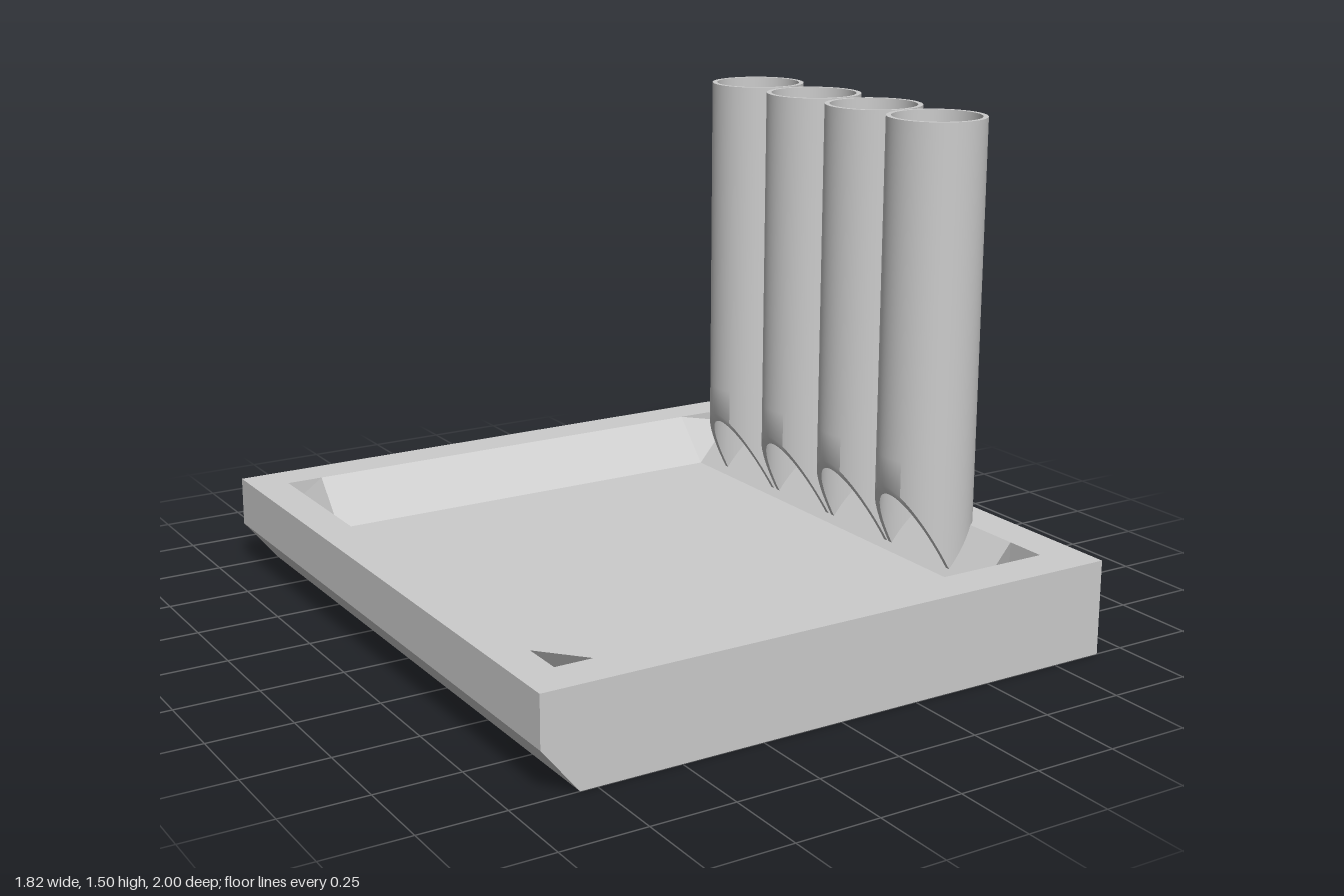
import * as THREE from 'three';
import { toCreasedNormals } from 'three/addons/utils/BufferGeometryUtils.js';

const RIM_Y = 0.285, FLOOR_Y = 0.15;
const material = new THREE.MeshStandardMaterial({ color: 0xcccccc, side: THREE.DoubleSide });

// Flat-shaded geometry from convex polygons, each given as counter-clockwise points
function polygons(faces) {
  const pos = [];
  for (const f of faces)
    for (let i = 1; i < f.length - 1; i++) pos.push(...f[0], ...f[i], ...f[i + 1]);
  const g = new THREE.BufferGeometry();
  g.setAttribute('position', new THREE.Float32BufferAttribute(pos, 3));
  g.computeVertexNormals();
  return g;
}

// Rectangle corners, counter-clockwise seen from above
const ring = (x0, x1, z0, z1, y) => [[x0, y, z0], [x0, y, z1], [x1, y, z1], [x1, y, z0]];

function add(group, name, geometry) {
  const mesh = new THREE.Mesh(geometry, material);
  mesh.name = name;
  group.add(mesh);
  return mesh;
}

function createTray() {
  const tray = new THREE.Group();
  tray.name = 'tray';
  const outer = ring(-0.91, 0.91, -1, 1, RIM_Y);
  const inner = ring(-0.8, 0.79, -0.88, 0.873, RIM_Y);
  const floor = ring(-0.687, 0.676, -0.752, 0.745, FLOOR_Y);

  // Outer shell: side profile with one chamfered lower edge, open at the top
  const profile = [[-0.8, 0], [0.91, 0], [0.91, RIM_Y], [-0.91, RIM_Y], [-0.91, 0.135]];
  const front = profile.map(([x, y]) => [x, y, 1]);
  const back = profile.map(([x, y]) => [x, y, -1]);
  const shell = [front, [...back].reverse()];
  for (let i = 0; i < 5; i++) {
    const j = (i + 1) % 5;
    if (i !== 2) shell.push([front[i], back[i], back[j], front[j]]);
  }
  add(tray, 'trayShell', polygons(shell));

  // Rim, sloping basin walls and slanted corner facets
  const rim = [], walls = [], corners = [];
  // Point on the rim edge starting at corner i, level with floor corner k
  const onRim = (i, k) => i % 2 === 0
    ? [inner[i][0], RIM_Y, floor[k][2]]
    : [floor[k][0], RIM_Y, inner[i][2]];
  for (let i = 0; i < 4; i++) {
    const j = (i + 1) % 4, h = (i + 3) % 4;
    rim.push([outer[i], outer[j], inner[j], inner[i]]);
    walls.push([onRim(i, i), onRim(i, j), floor[j], floor[i]]);
    corners.push([onRim(h, i), onRim(i, i), floor[i]]);
  }
  add(tray, 'trayRim', polygons(rim));
  add(tray, 'basin', polygons([...walls, ...corners, floor]));
  return tray;
}

// Hollow tube whose lower end is cut by a steep slant toward the basin
function createTubeGeometry(cx) {
  const R = 0.147, r = 0.132, top = 1.505;
  const profile = [[r, 0], [R, 0], [R, 0.5], [R, top], [r, top], [r, 0.5], [r, 0]]
    .map(([x, y]) => new THREE.Vector2(x, y));
  const g = new THREE.LatheGeometry(profile, 64);
  const p = g.attributes.position;
  for (let i = 0; i < p.count; i++) {
    if (p.getY(i) > 0.01) continue;
    p.setY(i, Math.max(FLOOR_Y, 0.41 - 1.8 * (p.getX(i) + R)));
  }
  g.translate(cx, 0, 0);
  return toCreasedNormals(g, Math.PI / 5);
}

export function createModel() {
  const model = new THREE.Group();
  model.name = 'trayWithTubes';
  model.add(createTray());

  // Row of four upright tubes along the left edge
  const tubes = new THREE.Group();
  tubes.name = 'tubes';
  const geometry = createTubeGeometry(0.708);
  [-0.475, -0.166, 0.141, 0.441].forEach((z, i) => {
    add(tubes, 'tube' + (i + 1), geometry).position.z = z;
  });
  model.add(tubes);
  return model;
}
